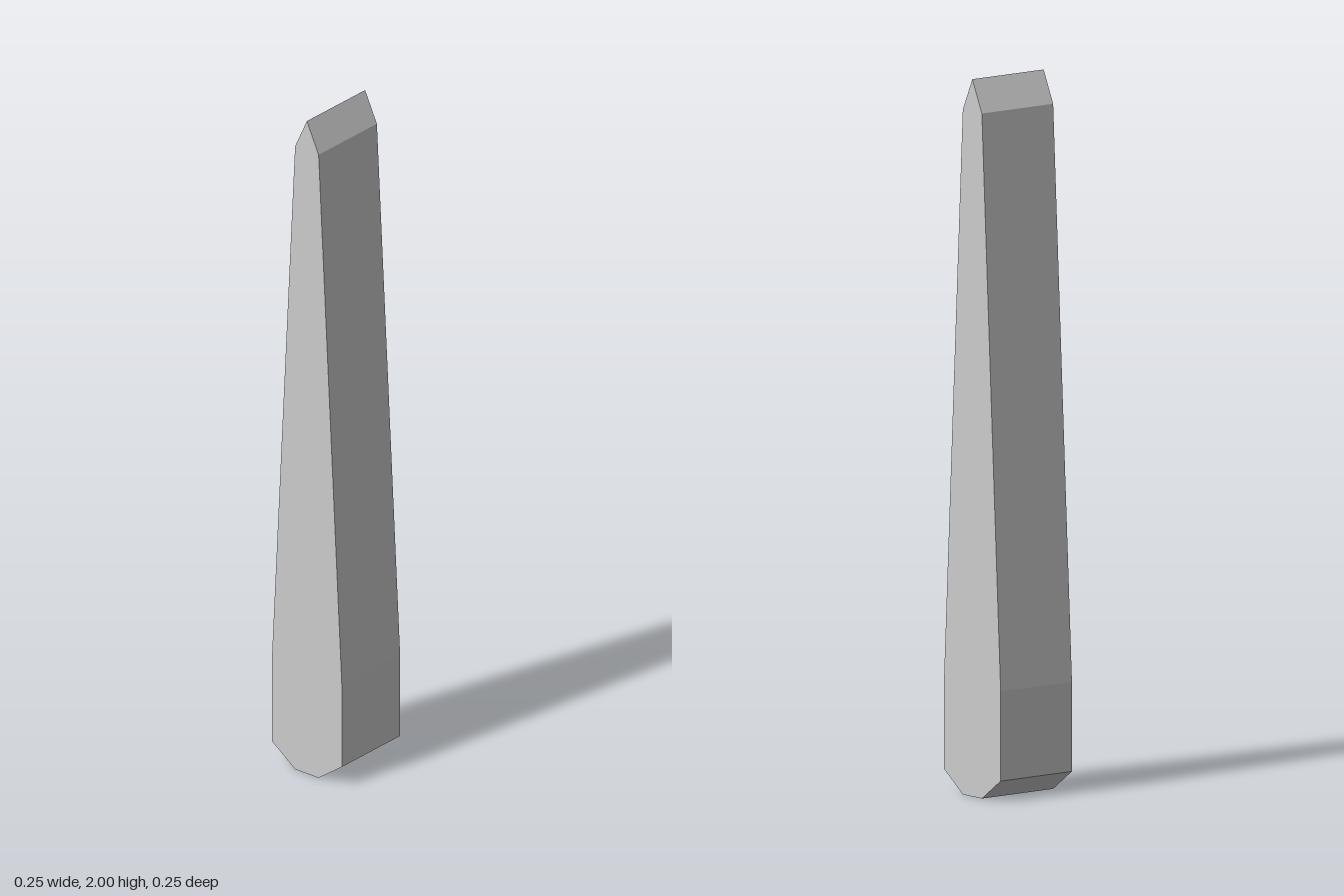
import * as THREE from 'three';

export function createModel() {
  const model = new THREE.Group();
  model.name = 'taperedBlade';

  // Right half of the outline, from the blunt base up to the ridge
  const half = [[0.042, 0], [0.125, 0.06], [0.125, 0.31], [0.042, 1.91]];
  const mirrored = half.map(([x, y]) => [-x, y]).reverse();
  const outline = [...half, [0, 2], ...mirrored].map(([x, y]) => new THREE.Vector2(x, y));

  // Blade: the outline extruded front to back
  const depth = 0.25;
  const geometry = new THREE.ExtrudeGeometry(new THREE.Shape(outline), { depth, bevelEnabled: false });
  geometry.translate(0, 0, -depth / 2);

  const material = new THREE.MeshStandardMaterial({ color: 0xcccccc, flatShading: true });
  const blade = new THREE.Mesh(geometry, material);
  blade.name = 'blade';
  model.add(blade);
  return model;
}
